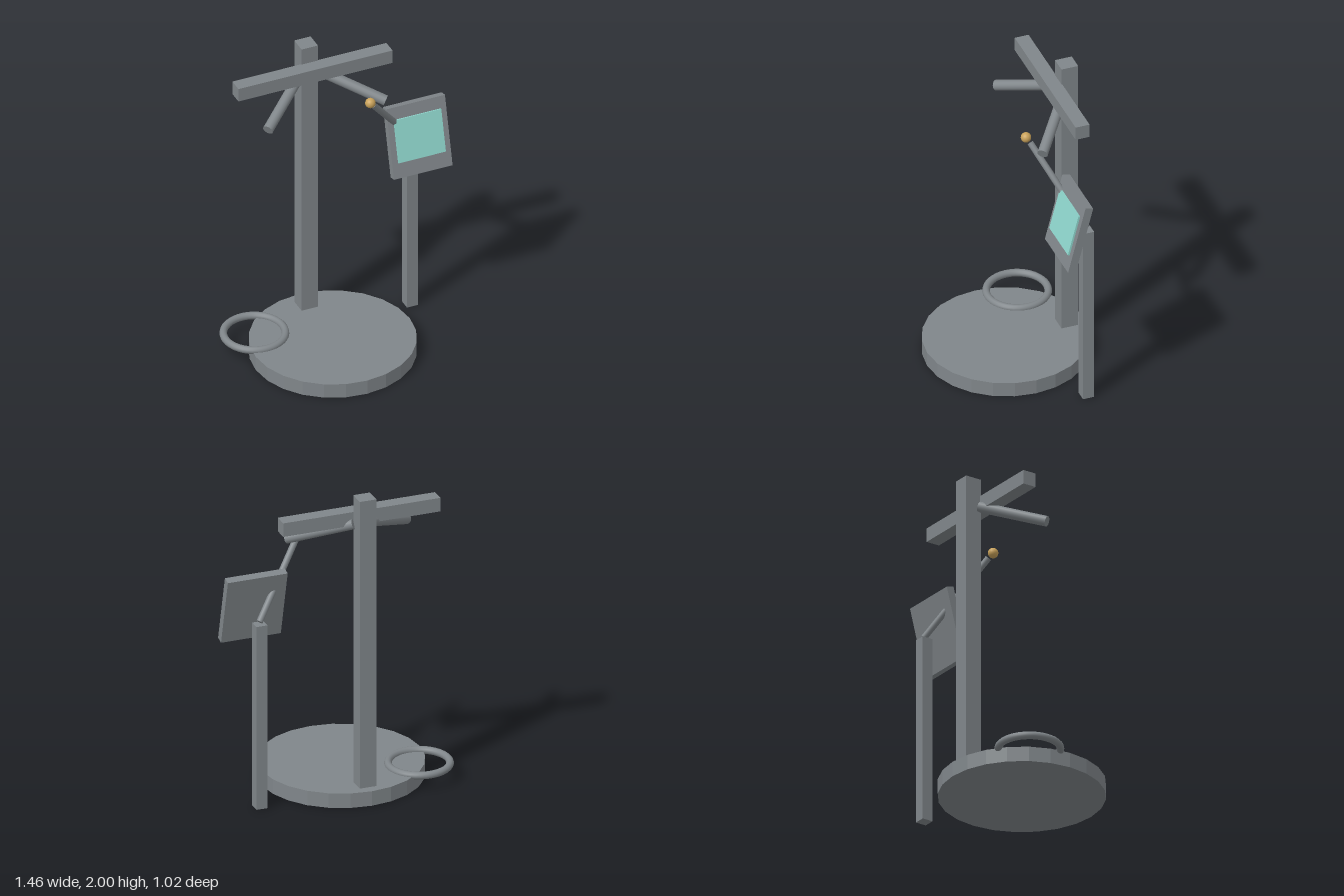
import * as THREE from 'three';

export function createModel() {
  const model = new THREE.Group();
  model.name = 'controlStand';

  const mat = (name, color) => {
    const m = new THREE.MeshStandardMaterial({ color });
    m.name = name;
    return m;
  };
  const steel = mat('steelGrey', 0x80868a);
  const glass = mat('screenTeal', 0x8fd6cd);
  const brass = mat('brass', 0xc9a25a);

  const add = (name, geometry, material, x, y, z, parent = model) => {
    const mesh = new THREE.Mesh(geometry, material);
    mesh.name = name;
    mesh.position.set(x, y, z);
    parent.add(mesh);
    return mesh;
  };
  const box = (name, w, h, d, x, y, z, material = steel, parent = model) =>
    add(name, new THREE.BoxGeometry(w, h, d), material, x, y, z, parent);

  // Round bar between two points
  const bar = (name, from, to, radius) => {
    const a = new THREE.Vector3(...from), b = new THREE.Vector3(...to);
    const dir = b.clone().sub(a);
    const mid = a.clone().add(b).multiplyScalar(0.5);
    const mesh = add(name, new THREE.CylinderGeometry(radius, radius, dir.length(), 16), steel, mid.x, mid.y, mid.z);
    mesh.quaternion.setFromUnitVectors(new THREE.Vector3(0, 1, 0), dir.normalize());
  };

  // Faceted round base, main post and crossbar
  const axisX = -0.102;
  const disc = new THREE.CylinderGeometry(0.51, 0.51, 0.096, 24).toNonIndexed();
  disc.computeVertexNormals();
  add('base', disc, steel, axisX, 0.048, 0);
  box('mainPost', 0.108, 1.91, 0.108, axisX, 1.045, -0.394);
  box('crossbar', 1.02, 0.09, 0.09, axisX, 1.845, -0.3);

  // Mirrored pair of arms, sloping down and forward
  for (const [name, s] of [['leftArm', 1], ['rightArm', -1]]) {
    bar(name, [axisX + s * 0.055, 1.815, -0.352], [axisX + s * 0.39, 1.662, -0.087], 0.033);
  }

  // Ring lying on the edge of the base
  const ring = add('ring', new THREE.TorusGeometry(0.188, 0.0235, 12, 40), steel, -0.516, 0.1, -0.234);
  ring.rotation.x = Math.PI / 2;

  // Side post carrying the tilted panel
  box('sidePost', 0.072, 1.214, 0.072, 0.533, 0.607, -0.276);
  const panel = new THREE.Group();
  panel.name = 'panel';
  panel.position.set(0.534, 1.288, -0.163);
  panel.rotation.x = -0.25;
  model.add(panel);
  box('panelBoard', 0.388, 0.458, 0.051, 0, 0, 0, steel, panel);
  box('screen', 0.312, 0.277, 0.012, 0, 0.011, 0.0315, glass, panel);

  // Lever passing through the panel, with its ball knob
  bar('leverRod', [0.183, 1.685, -0.048], [0.535, 1.228, -0.276], 0.02);
  add('leverKnob', new THREE.SphereGeometry(0.032, 20, 14), brass, 0.16, 1.715, -0.029);

  return model;
}
